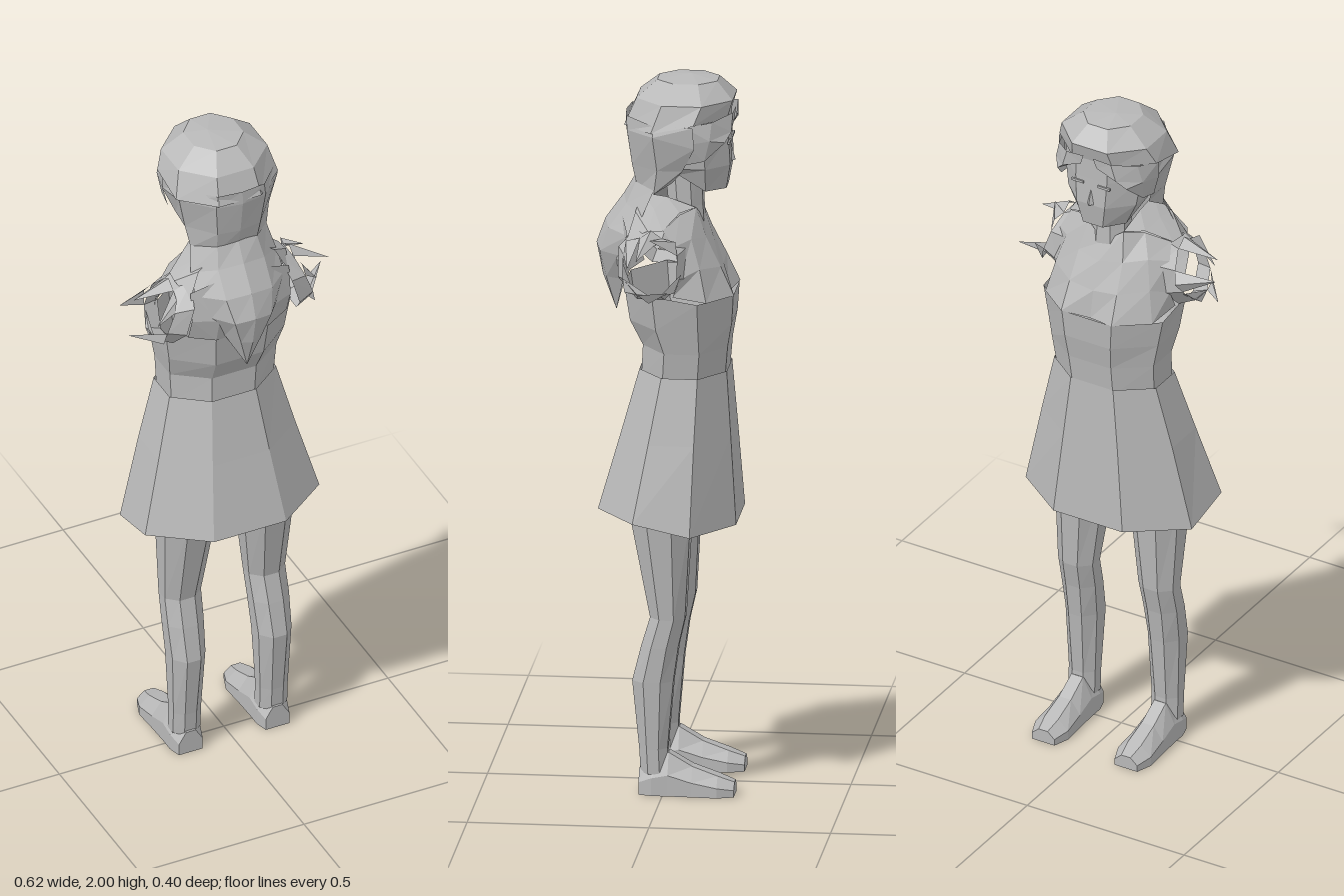
import * as THREE from 'three';

const grey = new THREE.MeshStandardMaterial({ color: 0xb8b8b8, flatShading: true, side: THREE.DoubleSide });
grey.name = 'grey';

// Faceted surface through rows of [x, y, z] points
function sheet(rows, closed = false) {
  const pos = [];
  for (let r = 0; r + 1 < rows.length; r++) {
    const n = rows[r].length;
    for (let i = 0; i < (closed ? n : n - 1); i++) {
      const j = (i + 1) % n;
      const a = rows[r][i], b = rows[r][j], c = rows[r + 1][j], d = rows[r + 1][i];
      pos.push(...a, ...d, ...b, ...b, ...d, ...c);
    }
  }
  const geo = new THREE.BufferGeometry();
  geo.setAttribute('position', new THREE.Float32BufferAttribute(pos, 3));
  geo.computeVertexNormals();
  return geo;
}

// Eight-sided ring; corners sit so that rx, zBack and zFront are the true extents
function ring([y, cx, rx, zBack, zFront, yFront = y]) {
  const pts = [];
  for (let i = 0; i < 8; i++) {
    const a = (i + 0.5) * Math.PI / 4, k = 1 / Math.cos(Math.PI / 8);
    const s = Math.sin(a) * k;
    pts.push([cx + rx * Math.cos(a) * k, s > 0 ? y : yFront, (zBack + zFront) / 2 + (zBack - zFront) / 2 * s]);
  }
  return pts;
}
const point = (p) => Array(8).fill(p);
// Mirror a half row (centre line first) to a full row
const whole = (row) => [...row.slice(1).reverse().map(([x, y, z]) => [-x, y, z]), ...row];

export function createModel() {
  const model = new THREE.Group();
  const add = (name, geo) => {
    const m = new THREE.Mesh(geo, grey);
    m.name = name;
    model.add(m);
    return m;
  };
  const loft = (name, specs, bottom, top) => {
    const rows = specs.map(ring);
    if (bottom) rows.unshift(point(bottom));
    if (top) rows.push(point(top));
    return add(name, sheet(rows, true));
  };

  // Flared skirt, open below, and fitted bodice
  loft('skirt', [
    [0.79, -0.01, 0.265, 0.185, -0.195, 0.755],
    [1.0, -0.008, 0.208, 0.125, -0.178],
    [1.18, -0.005, 0.162, 0.075, -0.165],
  ]);
  loft('bodice', [
    [1.16, -0.005, 0.155, 0.07, -0.16],
    [1.25, 0, 0.162, 0.065, -0.168],
    [1.32, 0, 0.175, 0.1, -0.18],
    [1.42, 0, 0.19, 0.115, -0.185, 1.4],
  ]);

  // Chest and shoulder yoke, from the bust over the shoulders to the nape
  add('chest', sheet([
    [[0, 1.39, -0.165], [0.08, 1.4, -0.187], [0.17, 1.4, -0.12], [0.19, 1.42, -0.03]],
    [[0, 1.47, -0.15], [0.075, 1.48, -0.15], [0.15, 1.49, -0.1], [0.185, 1.47, -0.05]],
    [[0, 1.55, -0.12], [0.07, 1.56, -0.11], [0.13, 1.57, -0.075], [0.175, 1.56, -0.035]],
    [[0, 1.6, -0.095], [0.055, 1.64, -0.08], [0.1, 1.63, -0.04], [0.16, 1.6, 0]],
  ].map(whole)));
  for (const s of [1, -1]) {
    add('shoulder', sheet([
      [[0.055, 1.64, -0.08], [0.1, 1.635, -0.04], [0.165, 1.6, 0]],
      [[0.06, 1.67, 0], [0.105, 1.645, 0.03], [0.17, 1.6, 0.04]],
      [[0.06, 1.68, 0.07], [0.115, 1.64, 0.08], [0.15, 1.57, 0.1]],
    ].map((row) => row.map(([x, y, z]) => [s * x, y, z]))));
  }

  // Upper back panel under the hair
  add('upperBack', sheet([
    [[0, 1.42, 0.115], [0.08, 1.42, 0.118], [0.15, 1.43, 0.085]],
    [[0, 1.52, 0.15], [0.08, 1.5, 0.14], [0.15, 1.5, 0.11]],
    [[0, 1.64, 0.13], [0.08, 1.62, 0.12], [0.15, 1.59, 0.1]],
  ].map(whole)));

  // Hollow cap sleeves ending in torn points
  const tips = {
    1: { 0: [0.24, 1.51, 0.09], 1: [0.29, 1.545, 0.06], 2: [0.23, 1.59, 0.03], 4: [0.24, 1.5, -0.06], 5: [0.31, 1.465, -0.03], 6: [0.22, 1.43, 0.03] },
    '-1': { 0: [-0.245, 1.5, 0.09], 1: [-0.29, 1.565, 0.03], 3: [-0.31, 1.525, -0.015], 5: [-0.22, 1.47, -0.04], 6: [-0.3, 1.44, 0.015] },
  };
  for (const s of [1, -1]) {
    const hoop = (x, ry, rz) => Array.from({ length: 8 }, (_, i) => {
      const a = (i + 0.5) * Math.PI / 4;
      return [s * (x - 0.03 * Math.sin(a)), 1.51 + ry * Math.sin(a), 0.03 + rz * Math.cos(a)];
    });
    const inner = hoop(0.16, 0.105, 0.1), outer = hoop(0.21, 0.08, 0.08);
    add('sleeve', sheet([inner, outer], true));
    for (const [i, tip] of Object.entries(tips[s])) {
      const a = outer[+i], b = outer[(+i + 1) % 8];
      const mid = a.map((v, k) => (v + b[k]) / 2);
      mid[1] += (mid[1] - 1.51) * 0.3;
      mid[2] += (mid[2] - 0.03) * 0.3;
      add('sleevePoint', sheet([[a, mid, b], [tip, tip, tip]]));
    }
  }

  // Neck and face
  loft('neck', [[1.56, 0, 0.06, 0.01, -0.1], [1.64, 0, 0.05, 0, -0.095], [1.76, 0, 0.05, 0.01, -0.09]]);
  loft('face', [
    [1.735, -0.005, 0.075, 0.02, -0.16, 1.69],
    [1.76, -0.005, 0.108, 0.04, -0.172],
    [1.84, -0.005, 0.12, 0.05, -0.168],
    [1.93, -0.005, 0.115, 0.05, -0.165],
  ], [-0.005, 1.715, -0.06]);
  add('nose', new THREE.ConeGeometry(0.012, 0.045, 4)).position.set(-0.005, 1.785, -0.17);
  for (const s of [1, -1]) {
    const eye = add('eye', new THREE.BoxGeometry(0.038, 0.007, 0.006));
    eye.position.set(s * 0.042 - 0.005, 1.825, -0.17);
  }

  // Hair cap, the fall around the back of the head, and a parted fringe
  loft('hairCap', [
    [1.87, -0.007, 0.155, 0.118, -0.165, 1.895],
    [1.945, -0.006, 0.135, 0.085, -0.18],
    [1.992, -0.006, 0.075, 0.03, -0.135],
  ], null, [-0.02, 2, -0.06]);
  add('hairBack', sheet([
    [[0, 1.9, 0.118], [0.07, 1.9, 0.11], [0.14, 1.89, 0.03], [0.15, 1.89, -0.08]],
    [[0, 1.86, 0.12], [0.075, 1.86, 0.108], [0.15, 1.86, 0.03], [0.148, 1.83, -0.085]],
    [[0, 1.76, 0.105], [0.065, 1.76, 0.095], [0.128, 1.76, 0.02], [0.122, 1.76, -0.05]],
    [[0, 1.69, 0.085], [0.06, 1.69, 0.08], [0.115, 1.69, 0.03], [0.1, 1.72, -0.02]],
  ].map(whole)));
  for (const s of [1, -1]) {
    add('fringe', sheet([
      [[0.015, 1.92, -0.185], [0.07, 1.915, -0.182], [0.125, 1.9, -0.13], [0.152, 1.89, -0.06]],
      [[0.025, 1.89, -0.182], [0.085, 1.865, -0.18], [0.138, 1.85, -0.125], [0.15, 1.84, -0.06]],
      [[0.06, 1.875, -0.178], [0.11, 1.84, -0.165], [0.13, 1.79, -0.11], [0.135, 1.78, -0.06]],
    ].map((row) => row.map(([x, y, z]) => [s * x - 0.005, y, z]))));
  }

  // Long hair spreading over the back and tapering to a point
  add('longHair', sheet([
    [[0, 1.72, 0.09], [0.06, 1.71, 0.085], [0.115, 1.7, 0.03]],
    [[0, 1.66, 0.125], [0.07, 1.65, 0.11], [0.13, 1.63, 0.06]],
    [[0, 1.59, 0.175], [0.07, 1.58, 0.16], [0.135, 1.575, 0.1]],
    [[0, 1.52, 0.2], [0.055, 1.51, 0.185], [0.1, 1.51, 0.13]],
    [[0, 1.43, 0.182], [0.03, 1.43, 0.17], [0.055, 1.43, 0.12]],
    [[0, 1.33, 0.145], [0, 1.33, 0.145], [0, 1.33, 0.145]],
  ].map(whole)));

  // Legs and bare feet
  for (const s of [1, -1]) {
    loft('leg', [
      [0.06, s * 0.132, 0.042, 0.062, -0.015],
      [0.13, s * 0.132, 0.042, 0.066, -0.012],
      [0.32, s * 0.131, 0.05, 0.085, -0.028],
      [0.42, s * 0.13, 0.054, 0.06, -0.042],
      [0.5, s * 0.128, 0.055, 0.036, -0.06],
      [0.78, s * 0.118, 0.08, 0.09, -0.075],
      [0.98, s * 0.1, 0.09, 0.08, -0.1],
    ]);
    // Foot sections from heel to toe: z, half width, height
    const rows = [[0.066, 0.036, 0.07], [0.03, 0.046, 0.1], [-0.015, 0.046, 0.118], [-0.08, 0.048, 0.08], [-0.15, 0.052, 0.055], [-0.196, 0.036, 0.038]]
      .map(([z, w, h]) => [[-w, 0], [-w, h * 0.5], [-w * 0.4, h], [w * 0.4, h], [w, h * 0.5], [w, 0]]
        .map(([x, y]) => [s * 0.132 + x, y, z]));
    const cap = (row) => Array(6).fill([s * 0.132, 0.02, row[0][2]]);
    add('foot', sheet([cap(rows[0]), ...rows, cap(rows[5])], true));
  }
  return model;
}
